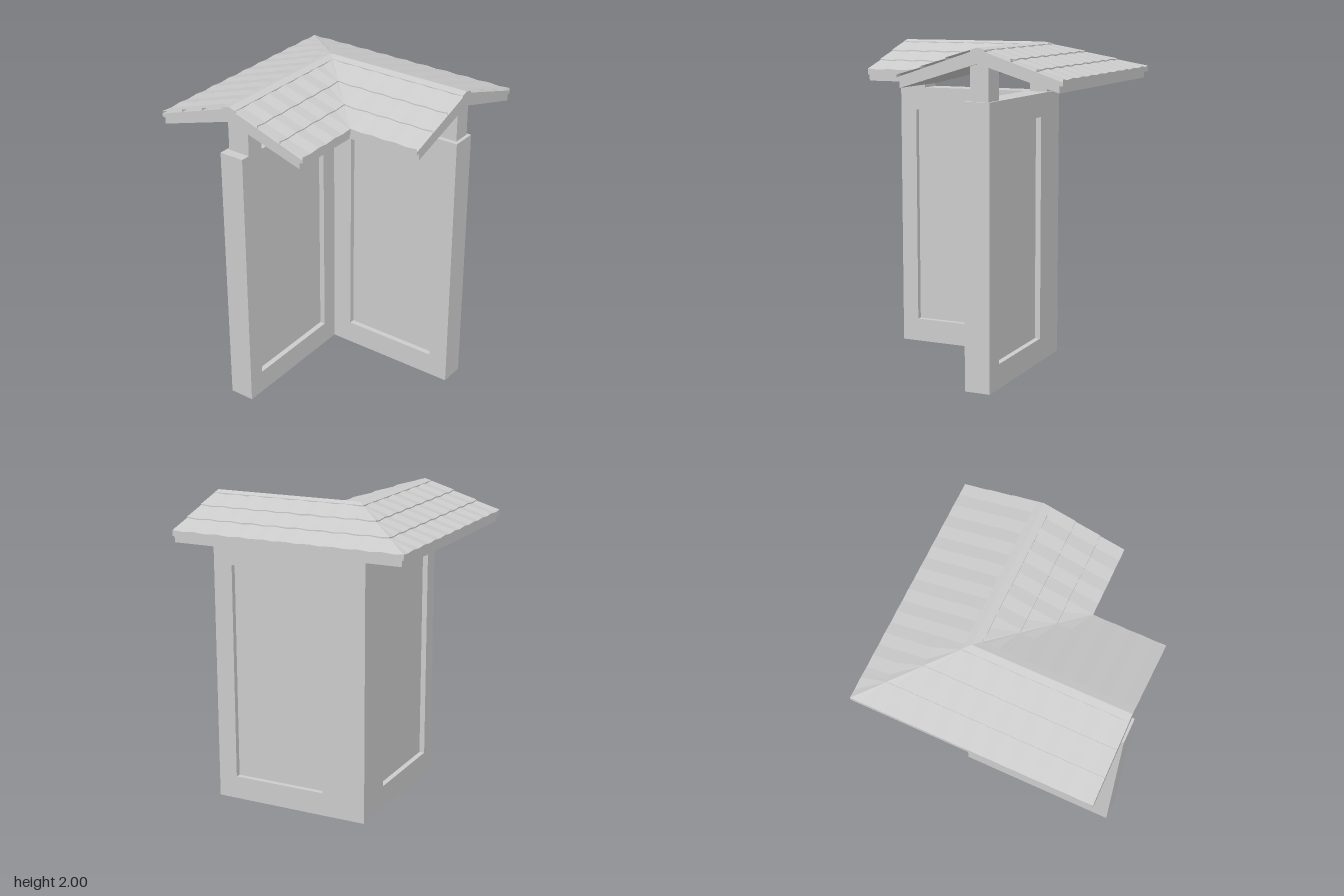
import * as THREE from 'three';

const RIDGE = 0.225, END = 0.742, HALF = 0.515;

export function createModel() {
  const model = new THREE.Group();
  const mat = new THREE.MeshStandardMaterial({ color: 0xcccccc, flatShading: true });
  const tileMat = new THREE.MeshStandardMaterial({ color: 0xcccccc, flatShading: true, side: THREE.DoubleSide });

  const add = (name, geo, material = mat) => {
    const mesh = new THREE.Mesh(geo, material);
    mesh.name = name;
    model.add(mesh);
  };
  const addBox = (name, x0, x1, y0, y1, z0, z1) => add(name,
    new THREE.BoxGeometry(x1 - x0, y1 - y0, z1 - z0).translate((x0 + x1) / 2, (y0 + y1) / 2, (z0 + z1) / 2));

  // Reflect a roof piece across the diagonal mitre, (x, z) -> (-z, -x), keeping faces outward
  const reflect = (geo) => {
    const g = geo.index ? geo.toNonIndexed() : geo.clone();
    const src = g.attributes.position.clone(), p = g.attributes.position;
    const order = [0, 2, 1];
    for (let i = 0; i < p.count; i++) {
      const k = i - (i % 3) + order[i % 3];
      p.setXYZ(i, -src.getZ(k), src.getY(k), -src.getX(k));
    }
    g.computeVertexNormals();
    return g;
  };
  const addRoof = (name, geo, material) => {
    add(name + 'Front', geo, material);
    add(name + 'Side', reflect(geo), material);
  };

  // Wall with a framed opening, filled by a thinner panel recessed on both faces
  const T = 0.16, H = 1.695, INSET = 0.035;
  const wall = (u0, u1, p0, p1) => {
    const rect = (Type, a, b, c, d) => {
      const s = new Type();
      s.moveTo(a, c); s.lineTo(b, c); s.lineTo(b, d); s.lineTo(a, d); s.closePath();
      return s;
    };
    const shape = rect(THREE.Shape, u0, u1, 0, H);
    shape.holes.push(rect(THREE.Path, p0, p1, 0.15, 1.55));
    return new THREE.ExtrudeGeometry(shape, { depth: T, bevelEnabled: false });
  };
  add('frontWallFrame', wall(-0.3, END, -0.01, 0.615).rotateY(-Math.PI / 2).translate(0.3, 0, 0));
  addBox('frontWallPanel', 0.14 + INSET, 0.3 - INSET, 0.15, 1.55, -0.01, 0.615);
  add('sideWallFrame', wall(-0.745, 0.14, -0.635, 0.028).translate(0, 0, -0.3));
  addBox('sideWallPanel', -0.635, 0.028, 0.15, 1.55, -0.3 + INSET, -0.14 - INSET);

  // Short posts carrying the roof
  addBox('frontPost', 0.17, 0.285, H, 1.91, 0.58, 0.72);
  addBox('cornerPost', 0.17, 0.285, H, 1.91, -0.285, -0.14);
  addBox('sidePost', -0.685, -0.57, H, 1.91, -0.285, -0.14);

  // Sweep a cross-section from the gable end to the diagonal mitre
  const mitred = (points) => {
    const shape = new THREE.Shape(points.map(([d, y]) => new THREE.Vector2(RIDGE + d, y)));
    const g = new THREE.ExtrudeGeometry(shape, { depth: 1, bevelEnabled: false });
    const p = g.attributes.position;
    for (let i = 0; i < p.count; i++) {
      const x = p.getX(i);
      p.setZ(i, THREE.MathUtils.lerp(-x, END, p.getZ(i)));
    }
    g.computeVertexNormals();
    return g;
  };
  addRoof('roofDeck', mitred([
    [-HALF, 1.8], [-HALF, 1.82], [-0.045, 1.976], [0.045, 1.976], [HALF, 1.82], [HALF, 1.8],
    [0.495, 1.8], [0.495, 1.76], [0, 1.91], [-0.495, 1.76], [-0.495, 1.8],
  ]));
  addRoof('ridgeCap', mitred([
    [-0.045, 1.965], [-0.045, 1.988], [0, 2], [0.045, 1.988], [0.045, 1.965],
  ]));

  // Three overlapping courses of rippled tiles on one slope
  const tiles = (side) => {
    const pos = [], step = 0.0375, courses = 3, run = (HALF - 0.045) / courses;
    const line = (d) => 1.98 - (d - 0.045) * 0.333;
    const ripple = (z) => 0.003 * (1 + Math.cos(((END - z) / 0.15) * Math.PI * 2));
    const vertex = (row, j) => {
      const x = RIDGE + side * row.d;
      const z = Math.max(END - j * step, -x);
      return [x, row.y + row.wave * ripple(z), z];
    };
    for (let k = 0; k < courses; k++) {
      const d0 = 0.045 + k * run, d1 = d0 + run;
      const rows = [
        { d: d0, y: line(d0), wave: 1 },
        { d: d1, y: line(d1) + 0.007, wave: 1 },
        { d: d1, y: line(d1) - (k === courses - 1 ? 0.02 : 0.004), wave: 0 },
      ];
      for (let r = 0; r < 2; r++) {
        for (let j = 0; j < 40; j++) {
          const a = vertex(rows[r], j), b = vertex(rows[r + 1], j);
          const c = vertex(rows[r], j + 1), e = vertex(rows[r + 1], j + 1);
          const tri = (p, q, s) => pos.push(...p, ...(side > 0 ? [...q, ...s] : [...s, ...q]));
          if (a[2] > c[2]) tri(a, b, c);
          if (b[2] > e[2]) tri(b, e, c);
        }
      }
    }
    const g = new THREE.BufferGeometry();
    g.setAttribute('position', new THREE.Float32BufferAttribute(pos, 3));
    g.computeVertexNormals();
    return g;
  };
  addRoof('outerTiles', tiles(1), tileMat);
  addRoof('innerTiles', tiles(-1), tileMat);

  return model;
}
